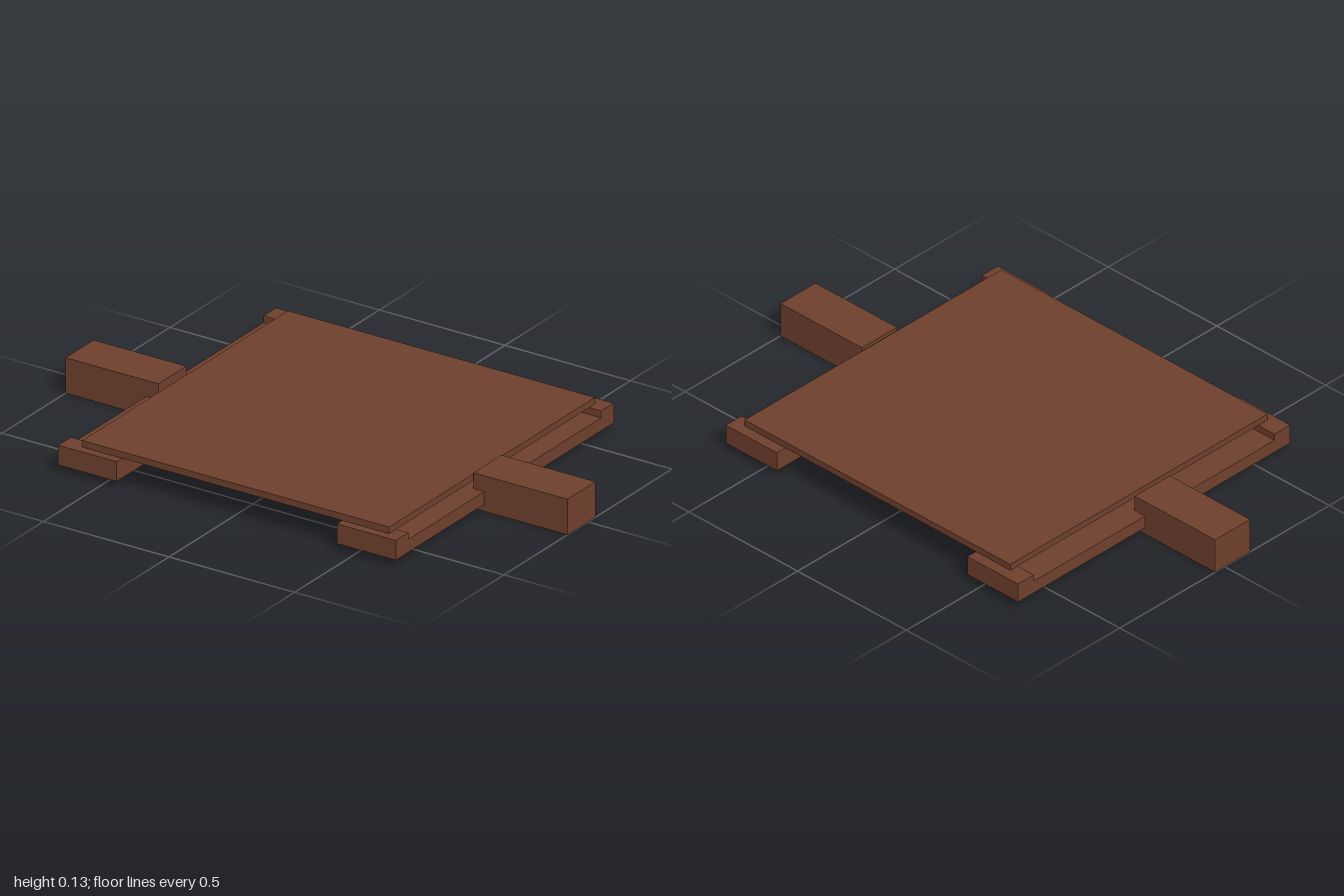
import * as THREE from 'three';

export function createModel() {
  const model = new THREE.Group();
  const wood = new THREE.MeshStandardMaterial({ color: 0x6e3f2c });
  wood.name = 'brown wood';

  const add = (name, geometry) => {
    const mesh = new THREE.Mesh(geometry, wood);
    mesh.name = name;
    model.add(mesh);
  };

  // Box given by its limits along each axis
  const block = (name, [x0, x1], [y0, y1], [z0, z1]) => {
    const geometry = new THREE.BoxGeometry(x1 - x0, y1 - y0, z1 - z0);
    geometry.translate((x0 + x1) / 2, (y0 + y1) / 2, (z0 + z1) / 2);
    add(name, geometry);
  };

  const rails = { right: [-0.677, -0.444], left: [0.433, 0.668] };
  const bottom = 0.025, railTop = 0.072, plateBottom = 0.097;
  const back = -0.65, front = 0.648;

  // H-shaped base: two side rails joined by a wide crossbar
  const [a, b] = rails.right, [c, d] = rails.left;
  const outline = [
    [a, back], [b, back], [b, -0.205], [c, -0.205], [c, back], [d, back],
    [d, front], [c, front], [c, 0.195], [b, 0.195], [b, front], [a, front],
  ].map(([x, z]) => new THREE.Vector2(x, z));
  const base = new THREE.ExtrudeGeometry(new THREE.Shape(outline), {
    depth: railTop - bottom, bevelEnabled: false,
  });
  base.rotateX(Math.PI / 2).translate(0, railTop, 0);
  add('baseFrame', base);

  // Raised blocks at the rail ends carry the top plate
  for (const [side, span] of Object.entries(rails)) {
    block(`${side}FrontSupport`, span, [railTop, plateBottom], [0.573, front]);
    block(`${side}BackSupport`, span, [railTop, plateBottom], [back, -0.575]);
  }

  block('topPlate', [-0.603, 0.62], [plateBottom, 0.121], [-0.61, 0.616]);

  // Side handles
  block('rightHandle', [-1, -0.63], [0, 0.13], [-0.045, 0.122]);
  block('leftHandle', [0.625, 1], [0, 0.13], [-0.045, 0.122]);

  return model;
}
